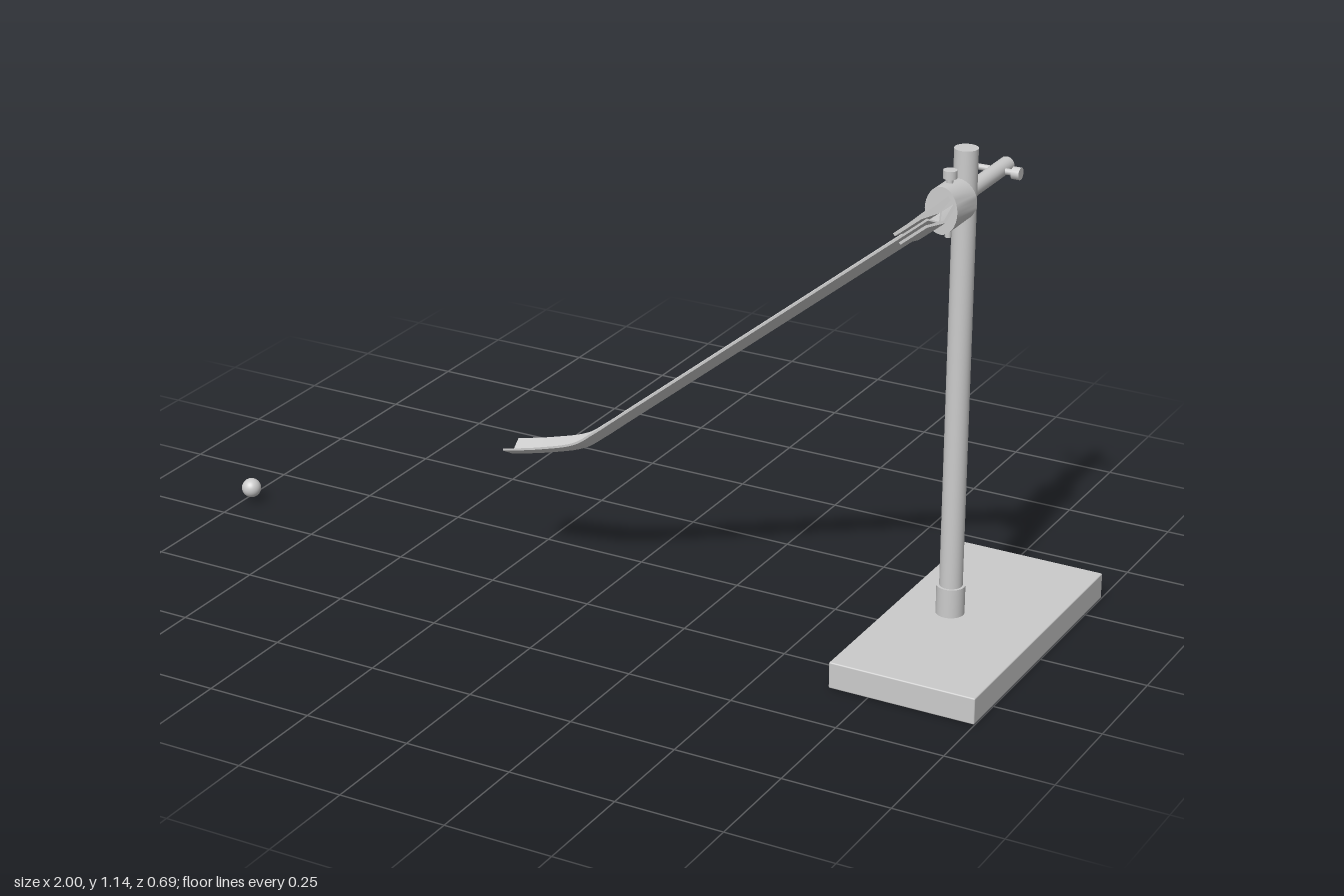
import * as THREE from 'three';
import { toCreasedNormals } from 'three/addons/utils/BufferGeometryUtils.js';
import { RoundedBoxGeometry } from 'three/addons/geometries/RoundedBoxGeometry.js';

const mat = new THREE.MeshStandardMaterial({ color: 0xcccccc });
const POST_X = 0.781, ARM_Y = 1.042, TRACK_Z = 0.187, BOSS_Z = 0.079;
const SLOPE = Math.atan2(0.652, 0.8);

function add(parent, name, geo, x, y, z) {
  const mesh = new THREE.Mesh(geo, mat);
  mesh.name = name;
  mesh.position.set(x, y, z);
  parent.add(mesh);
  return mesh;
}

// Cylinder along the y axis between two heights
function post(parent, name, r, y0, y1, x, z, sides = 32) {
  return add(parent, name, new THREE.CylinderGeometry(r, r, y1 - y0, sides), x, (y0 + y1) / 2, z);
}

// Sweep a closed [z, offset] section along a path lying in the xy plane
function sweep(section, path) {
  const n = section.length, pos = [], idx = [];
  path.forEach((p, i) => {
    const a = path[Math.max(i - 1, 0)], b = path[Math.min(i + 1, path.length - 1)];
    const t = b.clone().sub(a).normalize();
    for (const [z, h] of section) pos.push(p.x - t.y * h, p.y + t.x * h, z);
  });
  for (let i = 0; i < path.length - 1; i++) {
    for (let j = 0; j < n; j++) {
      const a = i * n + j, b = i * n + (j + 1) % n;
      idx.push(a, a + n, b, b, a + n, b + n);
    }
  }
  const caps = THREE.ShapeUtils.triangulateShape(section.map(([z, h]) => new THREE.Vector2(z, h)), []);
  const last = (path.length - 1) * n;
  for (const [a, b, c] of caps) idx.push(a, b, c, last + a, last + c, last + b);
  const geo = new THREE.BufferGeometry();
  geo.setAttribute('position', new THREE.Float32BufferAttribute(pos, 3));
  geo.setIndex(idx);
  return toCreasedNormals(geo, 0.5);
}

export function createModel() {
  const model = new THREE.Group();

  // Stand: slab, socket and upright rod
  add(model, 'base', new RoundedBoxGeometry(0.343, 0.062, 0.694, 2, 0.003), 0.8275, 0.031, 0);
  post(model, 'socket', 0.032, 0.06, 0.13, POST_X, 0);
  post(model, 'uprightRod', 0.026, 0.06, 1.145, POST_X, 0);

  // Clamp arm crossing the upright
  const arm = new THREE.CylinderGeometry(0.018, 0.018, 0.275, 24).rotateX(Math.PI / 2);
  add(model, 'clampArm', arm, POST_X, ARM_Y, -0.0785);

  // Thumbscrew across the rear end of the arm
  const screw = new THREE.Group();
  screw.name = 'rearScrew';
  model.add(screw);
  add(screw, 'screwShaft', new THREE.CylinderGeometry(0.007, 0.007, 0.12, 12).rotateZ(Math.PI / 2), 0.773, ARM_Y, -0.173);
  add(screw, 'screwHead', new THREE.CylinderGeometry(0.014, 0.014, 0.018, 12).rotateZ(Math.PI / 2), 0.824, ARM_Y, -0.173);

  // Clamp boss: taller and narrower towards the jaws
  let boss = new THREE.CylinderGeometry(0.046, 0.046, 0.08, 32).rotateX(Math.PI / 2).toNonIndexed();
  const p = boss.attributes.position;
  for (let i = 0; i < p.count; i++) {
    const k = p.getZ(i) / 0.04;
    p.setX(i, p.getX(i) * (0.9 - 0.09 * k));
    p.setY(i, p.getY(i) * (1.09 + 0.06 * k));
  }
  boss = toCreasedNormals(boss, 0.6);
  add(model, 'clampBoss', boss, POST_X, ARM_Y, BOSS_Z);

  // Vertical adjusting screw through the boss
  post(model, 'clampScrewShaft', 0.007, 0.971, 1.11, POST_X, BOSS_Z, 12);
  post(model, 'clampScrewHead', 0.015, 1.102, 1.12, POST_X, BOSS_Z, 16);

  // Jaws gripping the track, tilted with it
  const along = [-0.038, 0.038].map(d =>
    new THREE.Vector2(POST_X + d * Math.cos(SLOPE), 1.035 + d * Math.sin(SLOPE)));
  const lower = [[0.115, 0.004], [0.115, -0.004], [TRACK_Z, -0.019], [0.257, -0.005],
    [0.257, 0.001], [TRACK_Z, -0.013]];
  const upper = [[0.115, 0.023], [0.115, 0.014], [TRACK_Z, 0.005], [0.257, 0.016],
    [0.257, 0.023], [TRACK_Z, 0.022]];
  add(model, 'lowerJaw', sweep(lower, along), 0, 0, 0);
  add(model, 'upperJaw', sweep(upper, along), 0, 0, 0);

  // V-shaped track: long straight slope, curved run-out at the low end
  const bend = new THREE.CatmullRomCurve3([
    [-0.232, 0.309], [-0.14, 0.332], [-0.045, 0.364], [0.005, 0.4], [0.06, 0.445],
  ].map(([x, y]) => new THREE.Vector3(x, y, 0)));
  const path = bend.getPoints(24).map(v => new THREE.Vector2(v.x, v.y));
  path.push(new THREE.Vector2(0.803, 1.051));
  const w = 0.034;
  const vee = [[-w, 0.012], [-w, 0.007], [0, -0.013], [w, 0.007], [w, 0.012], [0, -0.008]]
    .map(([z, h]) => [z + TRACK_Z, h]);
  add(model, 'track', sweep(vee, path), 0, 0, 0);

  // Ball that has left the track
  add(model, 'ball', new THREE.SphereGeometry(0.023, 32, 20), -0.977, 0.037, 0.167);

  return model;
}
